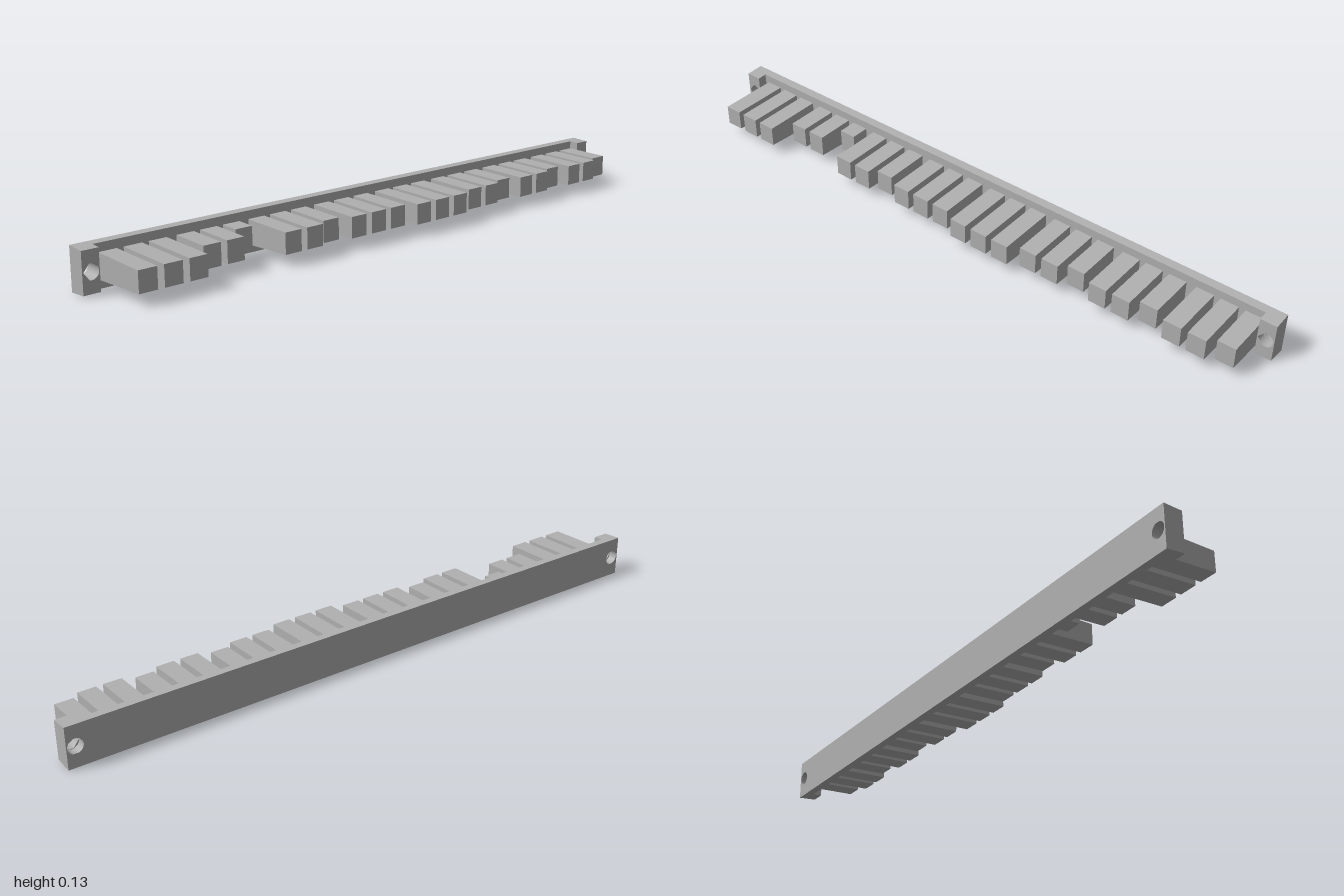
import * as THREE from 'three';

const MID = 0.0635, BACK = -0.107, PLATE_FRONT = -0.08, BOSS_FRONT = -0.05;
const HOLE_X = 0.974, HOLE_R = 0.023;

export function createModel() {
  const group = new THREE.Group();
  const grey = new THREE.MeshStandardMaterial({ color: 0xb0b0b0, flatShading: true });
  grey.name = 'grey';

  const add = (geo, name) => {
    geo.computeVertexNormals();
    const mesh = new THREE.Mesh(geo, grey);
    mesh.name = name;
    group.add(mesh);
  };

  // Height narrows towards the front; the screw holes stay straight
  const taper = (geo, halfAt) => {
    const p = geo.attributes.position;
    for (let i = 0; i < p.count; i++) {
      const y = p.getY(i);
      const outer = Math.abs(Math.abs(y) - 1) < 1e-4;
      p.setY(i, MID + (outer ? Math.sign(y) * halfAt(p.getZ(i)) : y));
    }
    return geo;
  };
  const bodyHalf = z => 0.0635 - (z - BACK) * 0.07;
  const pegHalf = z => 0.036 - (z + 0.05) * 0.032;

  // Slab of unit half-height with round holes
  const slab = (x0, x1, z0, z1, holes) => {
    const s = new THREE.Shape();
    s.moveTo(x0, -1); s.lineTo(x1, -1); s.lineTo(x1, 1); s.lineTo(x0, 1); s.closePath();
    for (const x of holes) {
      const h = new THREE.Path();
      h.absarc(x, 0, HOLE_R, 0, Math.PI * 2, true);
      s.holes.push(h);
    }
    const g = new THREE.ExtrudeGeometry(s, { depth: z1 - z0, bevelEnabled: false, curveSegments: 16 });
    g.translate(0, 0, z0);
    return taper(g, bodyHalf);
  };

  // Back bar and the two raised screw ends
  add(slab(-1, 1, BACK, PLATE_FRONT, [-HOLE_X, HOLE_X]), 'backBar');
  add(slab(-1, -0.949, PLATE_FRONT, BOSS_FRONT, [-HOLE_X]), 'rightScrewEnd');
  add(slab(0.949, 1, PLATE_FRONT, BOSS_FRONT, [HOLE_X]), 'leftScrewEnd');

  // Eight groups of three pegs, given by the depth of each tip
  const tips = [
    [0.107, 0.107, 0.107], [0.044, 0.044, -0.022], [0.086, 0.086, 0.065], [0.086, 0.086, 0.086],
    [0.107, 0.107, 0.107], [0.086, 0.086, 0.065], [0.086, 0.086, 0.065], [0.086, 0.086, 0.065],
  ];
  tips.forEach((set, i) => set.forEach((tip, j) => {
    const depth = tip - PLATE_FRONT;
    const g = new THREE.BoxGeometry(0.056, 2, depth);
    g.translate(-0.907 + i * 0.2393 + j * 0.0762, 0, PLATE_FRONT + depth / 2);
    add(taper(g, pegHalf), `peg${i * 3 + j + 1}`);
  }));

  return group;
}
